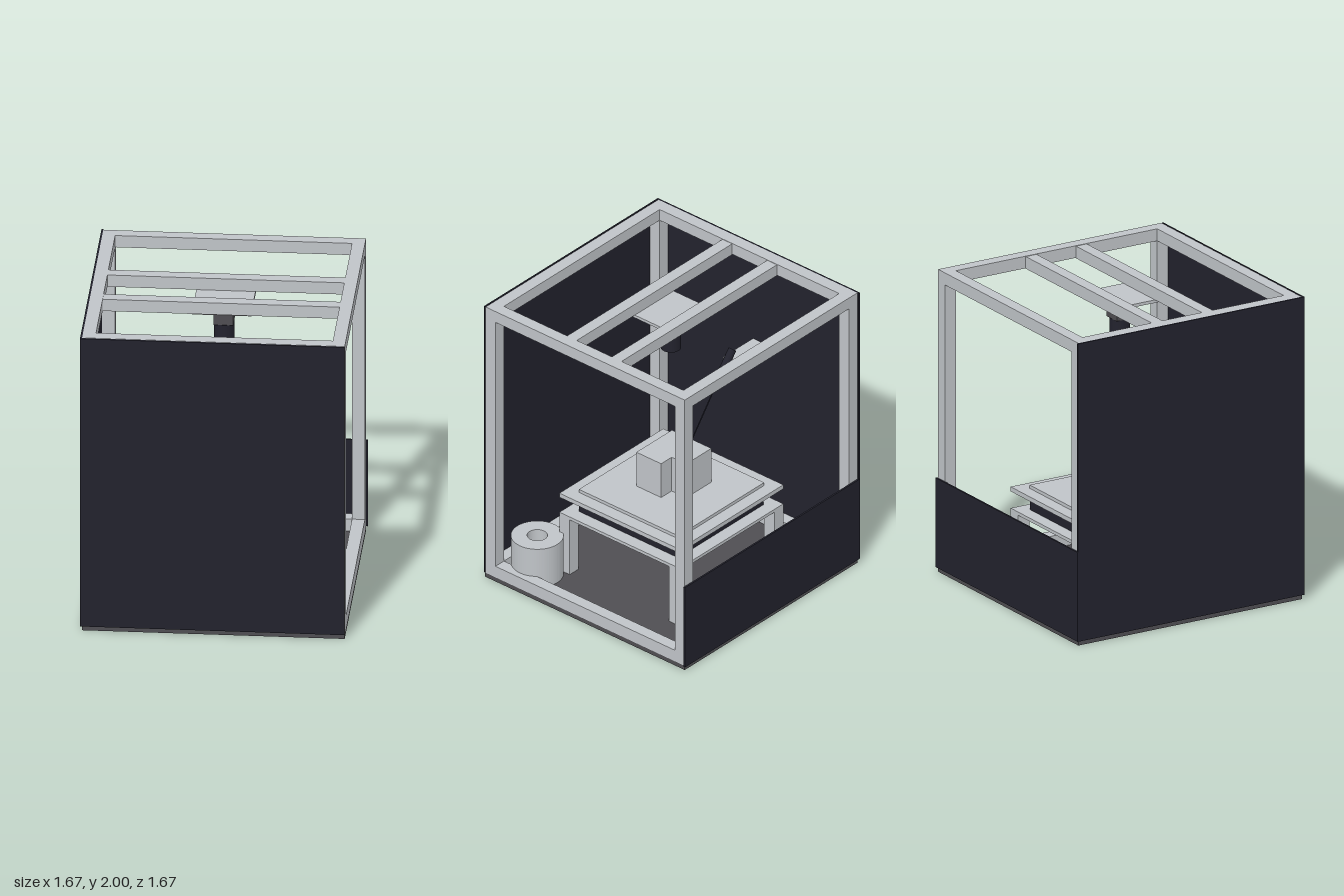
import * as THREE from 'three';

export function createModel() {
  const model = new THREE.Group();
  const mat = (name, color) => Object.assign(new THREE.MeshStandardMaterial({ color }), { name });
  const light = mat('light grey', 0xc0c4c8);
  const dark = mat('dark blue grey', 0x22222d);
  const grey = mat('mid grey', 0x4f4e52);

  const add = (name, geometry, material, parent = model) => {
    const mesh = new THREE.Mesh(geometry, material);
    mesh.name = name;
    parent.add(mesh);
    return mesh;
  };
  // box given by its minimum and maximum on each axis
  const box = (name, x0, x1, y0, y1, z0, z1, material, parent) => {
    const mesh = add(name, new THREE.BoxGeometry(x1 - x0, y1 - y0, z1 - z0), material, parent);
    mesh.position.set((x0 + x1) / 2, (y0 + y1) / 2, (z0 + z1) / 2);
    return mesh;
  };
  const group = (name) => {
    const g = new THREE.Group();
    g.name = name;
    model.add(g);
    return g;
  };
  // cylinder between two points
  const rod = (name, a, b, r, material, parent) => {
    const dir = b.clone().sub(a);
    const mesh = add(name, new THREE.CylinderGeometry(r, r, dir.length(), 24), material, parent);
    mesh.position.copy(a).add(b).multiplyScalar(0.5);
    mesh.quaternion.setFromUnitVectors(new THREE.Vector3(0, 1, 0), dir.normalize());
    return mesh;
  };

  // floor and wall panels
  box('floor', -0.825, 0.82, 0, 0.03, -0.825, 0.825, grey);
  box('frontPanel', -0.825, 0.82, 0.03, 2, 0.825, 0.835, dark);
  box('sidePanel', -0.837, -0.825, 0.03, 2, -0.835, 0.835, dark);
  box('lowBackPanel', -0.837, 0.832, 0.03, 0.62, -0.837, -0.825, dark);

  // cabinet frame: posts and rails
  const frame = group('frame');
  const lo = -0.825, hi = 0.82, t = 0.081;
  const bars = [[lo, lo + t], [hi - t, hi]];
  for (const [a, b] of bars) {
    for (const [c, d] of bars) box('post', a, b, 0.112, 1.92, c, d, light, frame);
    for (const [y0, y1] of [[0.03, 0.112], [1.92, 2]]) {
      box('sideRail', a, b, y0, y1, lo, hi, light, frame);
      box('crossRail', lo + t, hi - t, y0, y1, a, b, light, frame);
    }
  }
  for (const z of [-0.19, 0.18])
    box('roofBeam', lo + t, hi - t, 1.917, 1.997, z - 0.04, z + 0.04, light, frame);

  // overhead sensor
  const sensor = group('overheadSensor');
  box('mountPlate', -0.188, 0.183, 1.897, 1.917, -0.185, 0.183, light, sensor);
  box('sensorBody', -0.062, 0.06, 1.775, 1.897, -0.062, 0.06, grey, sensor);
  rod('sensorLens', new THREE.Vector3(0, 1.65, 0), new THREE.Vector3(0, 1.775, 0), 0.064, dark, sensor);

  // work table
  const table = group('table');
  for (const [x0, x1] of [[-0.497, -0.412], [0.407, 0.492]])
    for (const [z0, z1] of [[-0.497, -0.412], [0.41, 0.495]])
      box('tableLeg', x0, x1, 0.03, 0.435, z0, z1, light, table);
  box('lowerPlate', -0.497, 0.492, 0.435, 0.457, -0.497, 0.495, light, table);
  box('tableCore', -0.41, 0.405, 0.457, 0.568, -0.41, 0.41, dark, table);
  box('upperPlate', -0.497, 0.492, 0.568, 0.598, -0.497, 0.495, light, table);
  box('workSurface', -0.412, 0.405, 0.598, 0.62, -0.412, 0.41, light, table);

  // L-shaped workpiece
  const ell = new THREE.Shape(
    [[-0.2, -0.165], [0.14, -0.165], [0.14, 0.04], [0.04, 0.04], [0.04, 0.16], [-0.2, 0.16]]
      .map(([x, y]) => new THREE.Vector2(x, y)));
  const piece = add('workpiece', new THREE.ExtrudeGeometry(ell, { depth: 0.25, bevelEnabled: false }), light);
  piece.rotation.x = -Math.PI / 2;
  piece.position.y = 0.62;

  // wall-mounted pointer aimed at the workpiece
  const pointer = group('pointer');
  const back = new THREE.Vector3(-0.585, 1.352, 0), tip = new THREE.Vector3(-0.493, 1.242, 0);
  box('pointerBracket', -0.825, -0.54, 1.26, 1.3, -0.038, 0.038, light, pointer);
  rod('pointerBody', back, tip, 0.026, dark, pointer);
  rod('pointerNeedle', tip, new THREE.Vector3(-0.2, 0.87, 0), 0.004, dark, pointer);

  // hollow drum on the floor
  const ring = new THREE.Shape().absarc(0, 0, 0.165, 0, Math.PI * 2);
  ring.holes.push(new THREE.Path().absarc(0, 0, 0.064, 0, Math.PI * 2, true));
  const drum = add('drum', new THREE.ExtrudeGeometry(ring, { depth: 0.283, bevelEnabled: false, curveSegments: 32 }), light);
  drum.rotation.x = -Math.PI / 2;
  drum.position.set(0.613, 0.03, 0.573);

  // row of equipment modules along the back
  const modules = group('moduleRow');
  for (let i = 0; i < 5; i++) {
    const x = -0.188 - i * 0.124;
    box('module', x - 0.124, x, 0.03, 0.233, -0.68, -0.518, light, modules);
  }
  return model;
}
